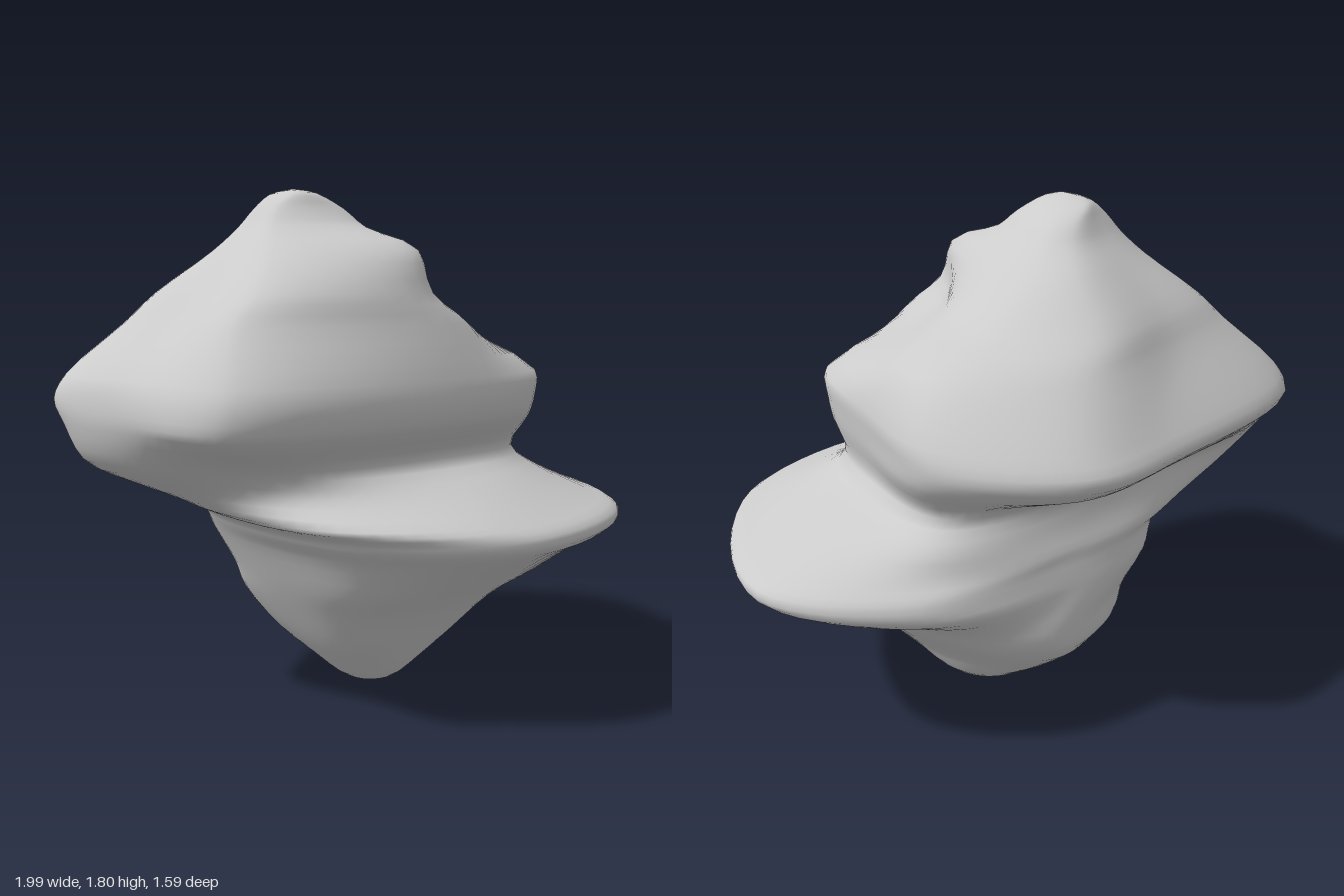
import * as THREE from 'three';

// Outlines seen from above, nine [x, z] corners each:
// +x, +x+z, +z, -x+z, -x, -x-z, between -x-z and -z, -z, +x-z
const outlines = {
  tip: [[1, 0], [0.75, 0.7], [0, 1], [-0.75, 0.7], [-1, 0], [-0.8, -0.65], [-0.4, -0.95], [0.1, -1], [0.7, -0.66]],
  belly: [[0.5, 0.05], [0.41, 0.27], [0.08, 0.36], [-0.24, 0.27], [-0.33, -0.05], [-0.29, -0.38], [-0.12, -0.5], [0.08, -0.54], [0.3, -0.4]],
  lip: [[1, -0.12], [0.74, 0.59], [0.08, 0.8], [-0.37, 0.54], [-0.51, 0], [-0.44, -0.38], [-0.25, -0.49], [0.08, -0.53], [0.6, -0.49]],
  ledge: [[0.71, -0.08], [0.54, 0.4], [0.05, 0.57], [-0.44, 0.4], [-0.72, 0], [-0.77, -0.36], [-0.45, -0.45], [0.05, -0.49], [0.52, -0.43]],
  waist: [[0.5, -0.05], [0.42, 0.33], [0.02, 0.4], [-0.53, 0.34], [-0.88, -0.02], [-0.95, -0.38], [-0.5, -0.46], [0.05, -0.5], [0.44, -0.39]],
  brim: [[0.55, -0.05], [0.46, 0.42], [0.1, 0.54], [-0.83, 0.42], [-0.96, -0.02], [-0.99, -0.48], [-0.25, -0.74], [0.17, -0.79], [0.54, -0.48]],
  slope: [[0.45, -0.13], [0.22, 0.2], [0.06, 0.45], [-0.73, 0.32], [-0.77, -0.02], [-0.78, -0.34], [-0.38, -0.51], [0.06, -0.6], [0.42, -0.37]],
  shoulder: [[0.06, -0.08], [0.01, 0.24], [-0.09, 0.36], [-0.49, 0.17], [-0.52, -0.02], [-0.5, -0.18], [-0.32, -0.29], [-0.1, -0.35], [0.02, -0.26]],
};

// Levels: outline, height, then its extent [xMin, xMax, zMin, zMax]
const levels = [
  ['tip', 0, 0.05, 0.05, -0.05, -0.05],
  ['tip', 0.02, -0.04, 0.15, -0.15, 0.06],
  ['tip', 0.1, -0.14, 0.26, -0.26, 0.15],
  ['belly', 0.2, -0.23, 0.35, -0.39, 0.23],
  ['belly', 0.35, -0.33, 0.5, -0.54, 0.36],
  ['belly', 0.46, -0.39, 0.65, -0.56, 0.5],
  ['lip', 0.59, -0.46, 0.87, -0.55, 0.71],
  ['lip', 0.645, -0.5, 0.985, -0.54, 0.79],
  ['lip', 0.685, -0.53, 0.985, -0.53, 0.79],
  ['lip', 0.73, -0.62, 0.89, -0.52, 0.72],
  ['ledge', 0.81, -0.78, 0.69, -0.49, 0.55],
  ['waist', 0.9, -0.94, 0.5, -0.49, 0.4],
  ['brim', 1.02, -0.99, 0.54, -0.72, 0.52],
  ['brim', 1.1, -1.0, 0.55, -0.8, 0.55],
  ['brim', 1.18, -0.97, 0.55, -0.75, 0.54],
  ['slope', 1.35, -0.79, 0.46, -0.61, 0.48],
  ['slope', 1.45, -0.69, 0.24, -0.53, 0.44],
  ['shoulder', 1.59, -0.53, 0.06, -0.37, 0.37],
  ['shoulder', 1.67, -0.44, -0.05, -0.26, 0.17],
  ['shoulder', 1.73, -0.39, -0.12, -0.21, 0.11],
  ['tip', 1.78, -0.34, -0.21, -0.15, 0.06],
  ['tip', 1.797, -0.28, -0.28, -0.04, -0.04],
];

const AROUND = 72;
const ROWS_PER_LEVEL = 3;

// Round an outline off and stretch it to fill the extent of its level
function roundedRing([name, y, x0, x1, z0, z1]) {
  const corners = outlines[name].map(([x, z]) => new THREE.Vector3(x, 0, z));
  const curve = new THREE.CatmullRomCurve3(corners, true, 'centripetal');
  const ring = Array.from({ length: AROUND }, (_, j) => curve.getPoint(j / AROUND));
  const { min, max } = new THREE.Box3().setFromPoints(ring);
  return ring.map((p) => new THREE.Vector3(
    THREE.MathUtils.mapLinear(p.x, min.x, max.x, x0, x1),
    y,
    THREE.MathUtils.mapLinear(p.z, min.z, max.z, z0, z1),
  ));
}

// Smooth skin through all levels
function loftGeometry() {
  const rings = levels.map(roundedRing);
  const columns = rings[0].map((_, j) =>
    new THREE.CatmullRomCurve3(rings.map((ring) => ring[j]), false, 'centripetal'));
  const rows = (levels.length - 1) * ROWS_PER_LEVEL;
  const positions = [];
  const index = [];
  for (let i = 0; i <= rows; i++) {
    columns.forEach((column, j) => {
      positions.push(...column.getPoint(i / rows).toArray());
      if (i === rows) return;
      const a = i * AROUND + j;
      const b = i * AROUND + ((j + 1) % AROUND);
      index.push(a, a + AROUND, b, b, a + AROUND, b + AROUND);
    });
  }
  const geometry = new THREE.BufferGeometry();
  geometry.setAttribute('position', new THREE.Float32BufferAttribute(positions, 3));
  geometry.setIndex(index);
  geometry.computeVertexNormals();
  return geometry;
}

export function createModel() {
  const group = new THREE.Group();
  group.name = 'smoothRock';
  const body = new THREE.Mesh(loftGeometry(), new THREE.MeshStandardMaterial({ color: 0xcccccc }));
  body.name = 'rockBody';
  group.add(body);
  return group;
}
